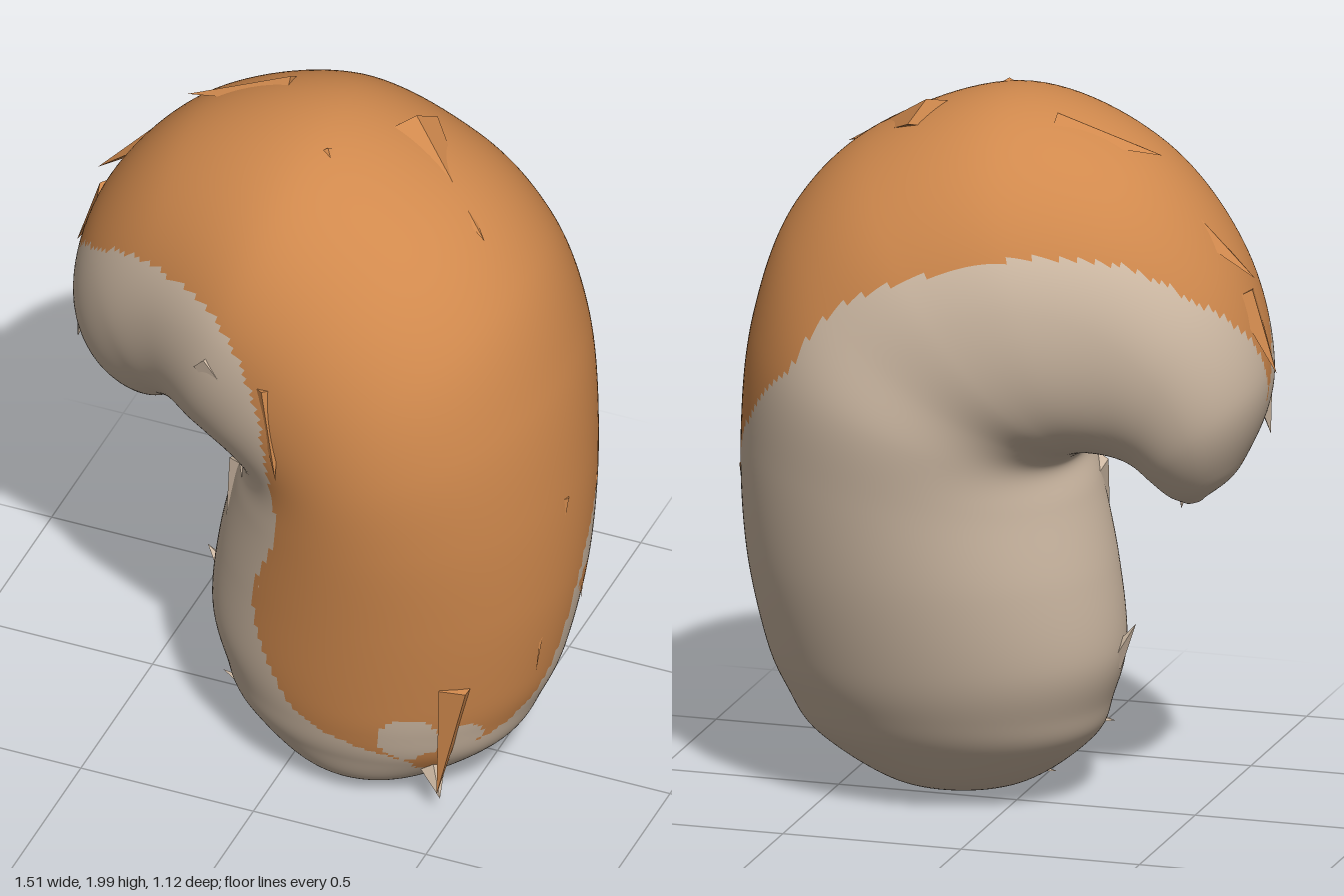
import * as THREE from 'three';

const orange = new THREE.MeshStandardMaterial({ color: 0xd0894d });
orange.name = 'orange fur';
const cream = new THREE.MeshStandardMaterial({ color: 0xd1bca6 });
cream.name = 'cream fur';

// Cross-sections along the curl:
// inner x, inner y, outer x, outer y, half width, centre z, start and end angle of the orange (0 = outer edge)
const stations = [
  [0.16, 0.01, 0.24, 0.01, 0.02, 0.12, 1.0, 1.0],
  [-0.02, 0.05, 0.40, 0.05, 0.20, 0.11, 1.0, 1.0],
  [-0.19, 0.18, 0.58, 0.17, 0.31, 0.08, 1.0, 1.0],
  [-0.24, 0.29, 0.65, 0.29, 0.37, 0.06, 0.35, 1.72],
  [-0.28, 0.44, 0.70, 0.43, 0.42, 0.04, 0.1, 1.95],
  [-0.26, 0.66, 0.745, 0.70, 0.48, 0.02, -0.05, 2.14],
  [-0.21, 0.88, 0.75, 1.02, 0.53, 0.01, -0.5, 2.02],
  [-0.18, 0.98, 0.71, 1.35, 0.56, 0.0, -1.0, 2.06],
  [-0.21, 1.02, 0.60, 1.65, 0.555, 0.0, -1.15, 1.94],
  [-0.25, 1.04, 0.37, 1.87, 0.54, -0.01, -1.28, 1.69],
  [-0.29, 1.04, 0.0, 2.0, 0.50, -0.02, -1.3, 1.37],
  [-0.34, 1.03, -0.38, 1.88, 0.41, -0.04, -1.1, 1.13],
  [-0.38, 1.01, -0.63, 1.60, 0.33, -0.05, -0.75, 0.75],
  [-0.42, 0.97, -0.725, 1.27, 0.24, -0.06, -0.05, 0.05],
  [-0.46, 0.93, -0.65, 1.02, 0.13, -0.07, 0, 0],
  [-0.50, 0.90, -0.54, 0.91, 0.02, -0.07, 0, 0],
];

// Small patches near the colour border: x, y, z, radius
const creamPatches = [[0.41, 0.28, 0.38, 0.085], [0.55, 0.27, 0.32, 0.06], [0.74, 0.72, -0.03, 0.03]];
const orangePatches = [[0.44, 0.18, 0.32, 0.05], [0.73, 0.62, -0.06, 0.05], [0.66, 0.36, -0.14, 0.03]];

function createBody() {
  const smooth = (i, j, k) => new THREE.CatmullRomCurve3(
    stations.map(s => new THREE.Vector3(s[i], s[j], s[k])), false, 'catmullrom', 0.5);
  const inner = smooth(0, 1, 5), outer = smooth(2, 3, 4), limits = smooth(6, 7, 5);
  const rows = (stations.length - 1) * 12, cols = 160;
  const pos = [], orangeFaces = [], creamFaces = [];
  const point = new THREE.Vector3(), centre = new THREE.Vector3();
  const inside = patches => patches.some(([x, y, z, r]) => point.distanceTo(centre.set(x, y, z)) < r);

  for (let r = 0; r <= rows; r++) {
    const t = r / rows, a = inner.getPoint(t), b = outer.getPoint(t), lim = limits.getPoint(t);
    // The hook stays full towards the inside, then turns under sharply
    const fullness = 1 - 0.28 * THREE.MathUtils.smoothstep(t, 0.42, 0.62);
    for (let c = 0; c < cols; c++) {
      let angle = c / cols * 2 * Math.PI;
      if (angle > Math.PI) angle -= 2 * Math.PI;
      const cos = Math.cos(angle), sin = Math.sin(angle), k = (1 + cos) / 2;
      const depth = cos < 0 ? Math.sign(sin) * Math.abs(sin) ** fullness : sin;
      point.set(a.x + (b.x - a.x) * k, a.y + (b.y - a.y) * k, a.z + b.z * depth);
      pos.push(point.x, point.y, point.z);
      if (r === rows) continue;
      const inBand = angle > lim.x && angle < lim.y;
      const faces = inside(orangePatches) || (inBand && !inside(creamPatches)) ? orangeFaces : creamFaces;
      const p = r * cols + c, p1 = r * cols + (c + 1) % cols;
      faces.push(p, p + cols, p1, p1, p + cols, p1 + cols);
    }
  }
  // Close both ends
  const last = rows * cols;
  for (let c = 1; c < cols - 1; c++) {
    creamFaces.push(0, c, c + 1, last, last + c + 1, last + c);
  }
  const g = new THREE.BufferGeometry();
  g.setAttribute('position', new THREE.Float32BufferAttribute(pos, 3));
  g.setIndex([...orangeFaces, ...creamFaces]);
  g.addGroup(0, orangeFaces.length, 0);
  g.addGroup(orangeFaces.length, creamFaces.length, 1);
  g.computeVertexNormals();
  const mesh = new THREE.Mesh(g, [orange, cream]);
  mesh.name = 'curledTail';
  return mesh;
}

// A flattened pointed lock of fur running from a root to a tip
function createTuft(name, root, tip, width, thick, material) {
  const a = new THREE.Vector3(...root), b = new THREE.Vector3(...tip);
  const dir = b.clone().sub(a), length = dir.length();
  dir.normalize();
  const out = a.clone().add(b).multiplyScalar(0.5).sub(new THREE.Vector3(0.1, 1.05, 0));
  const side = new THREE.Vector3().crossVectors(dir, out).normalize();
  const up = new THREE.Vector3().crossVectors(side, dir);
  const lock = new THREE.ConeGeometry(1, length, 4, 1).toNonIndexed();
  lock.scale(width, 1, thick);
  lock.translate(0, length / 2, 0);
  lock.applyMatrix4(new THREE.Matrix4().makeBasis(side, dir, up).setPosition(a));
  lock.computeVertexNormals();
  const mesh = new THREE.Mesh(lock, material);
  mesh.name = name;
  return mesh;
}

export function createModel() {
  const model = new THREE.Group();
  model.name = 'bushyTail';
  model.add(createBody());

  const orangeTufts = [
    [[-0.15, 1.94, -0.14], [-0.44, 1.87, -0.1], 0.08, 0.04],
    [[-0.45, 1.76, -0.12], [-0.70, 1.55, -0.1], 0.08, 0.04],
    [[-0.66, 1.50, -0.08], [-0.76, 1.29, -0.1], 0.07, 0.03],
    [[0.05, 1.95, 0.1], [0.25, 1.77, 0.36], 0.07, 0.04],
    [[0.2, 1.94, -0.12], [0.5, 1.78, 0.09], 0.09, 0.04],
    [[0.04, 1.45, 0.51], [0.08, 1.17, 0.54], 0.04, 0.03],
    [[0.73, 1.0, 0.1], [0.69, 0.46, 0.19], 0.04, 0.02],
    [[0.72, 0.92, -0.12], [0.73, 0.57, -0.03], 0.03, 0.02],
    [[0.53, 0.48, 0.35], [0.46, 0.08, 0.33], 0.06, 0.04],
  ];
  const creamTufts = [
    [[-0.68, 1.22, 0.02], [-0.70, 1.08, 0.04], 0.06, 0.03],
    [[-0.50, 1.02, -0.08], [-0.48, 0.88, -0.06], 0.06, 0.04],
    [[-0.15, 1.46, 0.46], [0.06, 1.26, 0.53], 0.05, 0.03],
    [[-0.17, 0.92, 0.18], [-0.17, 0.61, 0.30], 0.05, 0.03],
    [[-0.12, 1.02, 0.25], [-0.01, 0.71, 0.44], 0.06, 0.03],
    [[-0.25, 0.40, 0.05], [-0.315, 0.51, 0.06], 0.06, 0.03],
    [[-0.05, 0.19, 0.24], [-0.22, 0.20, 0.18], 0.06, 0.03],
    [[0.06, 0.07, 0.12], [-0.08, 0.07, 0.1], 0.06, 0.02],
    [[0.42, 0.18, 0.28], [0.47, 0.07, 0.33], 0.05, 0.03],
  ];
  orangeTufts.forEach(t => model.add(createTuft('orangeTuft', ...t, orange)));
  creamTufts.forEach(t => model.add(createTuft('creamTuft', ...t, cream)));
  return model;
}
